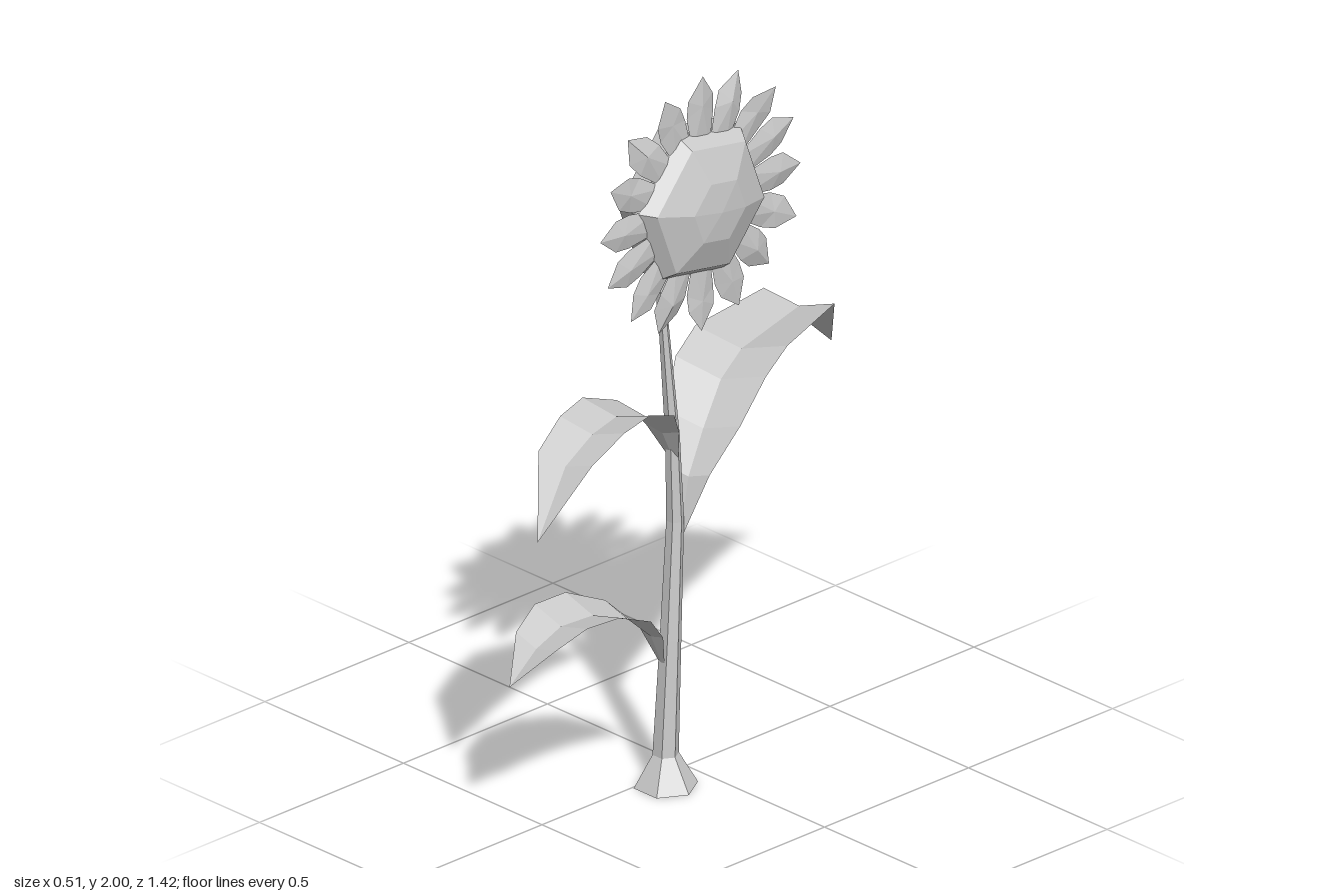
import * as THREE from 'three';

const material = new THREE.MeshStandardMaterial({
  color: 0xcccccc, flatShading: true, side: THREE.DoubleSide,
});

function addMesh(group, name, geometry) {
  const mesh = new THREE.Mesh(geometry, material);
  mesh.name = name;
  group.add(mesh);
  return mesh;
}

// Skin a list of cross-sections, each an array of Vector3 of equal length.
function loft(rows, closed) {
  const n = rows[0].length, index = [];
  const across = closed ? n : n - 1;
  for (let i = 0; i < rows.length - 1; i++) {
    for (let j = 0; j < across; j++) {
      const a = i * n + j, b = i * n + (j + 1) % n;
      index.push(a, a + n, b, b, a + n, b + n);
    }
  }
  const geometry = new THREE.BufferGeometry().setFromPoints(rows.flat());
  geometry.setIndex(index);
  geometry.computeVertexNormals();
  return geometry;
}

// Six-sided stalk through [x, y, z, radius] stations.
function stemGeometry(stations) {
  return loft(stations.map(([x, y, z, r]) => Array.from({ length: 6 }, (_, k) => {
    const a = -k * Math.PI / 3;
    return new THREE.Vector3(x + r * Math.cos(a), y, z + r * Math.sin(a));
  })), true);
}

// Arched leaf, folded along its midrib: stations are [x, y, z, halfWidth].
function leafGeometry(stations) {
  const first = stations[0], last = stations[stations.length - 1];
  const side = new THREE.Vector3(last[2] - first[2], 0, first[0] - last[0]).normalize();
  return loft(stations.map(([x, y, z, w]) => [-1, 0, 1].map((s) =>
    new THREE.Vector3(x, y + Math.abs(s) * w * 0.28, z).addScaledVector(side, s * w))), false);
}

// Ring of pointed petals around the x axis, each slightly ridged and tilted.
function petalGeometry(count) {
  const points = [], index = [];
  const step = Math.PI * 2 / count;
  for (let i = 0; i < count; i++) {
    const wobble = 0.008 * Math.sin(i * 2.3);
    const put = (r, t, x) => {
      const a = (i + t) * step;
      points.push(new THREE.Vector3(x, r * Math.sin(a), r * Math.cos(a)));
    };
    const o = points.length;
    put(0.15, -0.5, 0);
    put(0.15, 0.5, 0);
    put(0.25, -0.47, -0.004);
    put(0.25, 0.47, -0.004);
    put(0.295, -0.37, wobble - 0.004);
    put(0.295, 0.37, wobble - 0.004);
    put(0.27, 0, 0.007);
    put(0.35, 0.03, wobble * 1.3);
    const rim = [0, 2, 4, 7, 5, 3, 1];
    rim.forEach((v, k) => index.push(o + 6, o + v, o + rim[(k + 1) % rim.length]));
  }
  const geometry = new THREE.BufferGeometry().setFromPoints(points);
  geometry.setIndex(index);
  geometry.computeVertexNormals();
  return geometry;
}

export function createModel() {
  const model = new THREE.Group();
  model.name = 'flower';

  // Stem with flared foot, widening again where it meets the head
  addMesh(model, 'stem', stemGeometry([
    [0.047, 0, 0.115, 0.083], [0.043, 0.085, 0.112, 0.034], [0.043, 0.4, 0.095, 0.028],
    [0.041, 0.72, 0.077, 0.023], [0.04, 0.95, 0.085, 0.019], [0.038, 1.27, 0.114, 0.013],
    [0.031, 1.59, 0.12, 0.03], [0.055, 1.67, 0.12, 0.025],
  ]));

  // Leaves
  addMesh(model, 'lowerFrontLeaf', leafGeometry([
    [0.04, 0.33, 0.12, 0.008], [0.035, 0.42, 0.155, 0.045], [0.03, 0.49, 0.23, 0.085],
    [0.028, 0.54, 0.35, 0.102], [0.027, 0.545, 0.46, 0.098], [0.026, 0.51, 0.545, 0.075],
    [0.025, 0.434, 0.637, 0],
  ]));
  addMesh(model, 'upperFrontLeaf', leafGeometry([
    [0.043, 0.88, 0.08, 0.01], [0.05, 0.98, 0.13, 0.05], [0.072, 1.06, 0.21, 0.085],
    [0.107, 1.115, 0.345, 0.1], [0.14, 1.115, 0.46, 0.095], [0.168, 1.075, 0.58, 0.08],
    [0.2, 0.917, 0.708, 0],
  ]));
  addMesh(model, 'backLeaf', leafGeometry([
    [0.043, 0.68, 0.06, 0.01], [0.035, 0.82, 0.025, 0.06], [0.01, 0.92, -0.05, 0.105],
    [-0.03, 1.01, -0.15, 0.128], [-0.07, 1.045, -0.26, 0.13], [-0.158, 1.04, -0.545, 0.1],
    [-0.215, 0.87, -0.712, 0],
  ]));

  // Flower head, facing +x
  const head = new THREE.Group();
  head.name = 'flowerHead';
  head.position.set(0, 1.655, 0.117);
  model.add(head);

  const profile = [[0, 0], [0.218, 0.1], [0.224, 0.165], [0.188, 0.212], [0.09, 0.246], [0, 0.254]];
  const seedHead = new THREE.LatheGeometry(
    profile.map(([r, h]) => new THREE.Vector2(r, h)), 6, -0.17);
  seedHead.rotateZ(-Math.PI / 2);
  addMesh(head, 'seedHead', seedHead);

  const petals = addMesh(head, 'petals', petalGeometry(16));
  petals.position.x = 0.176;

  return model;
}
